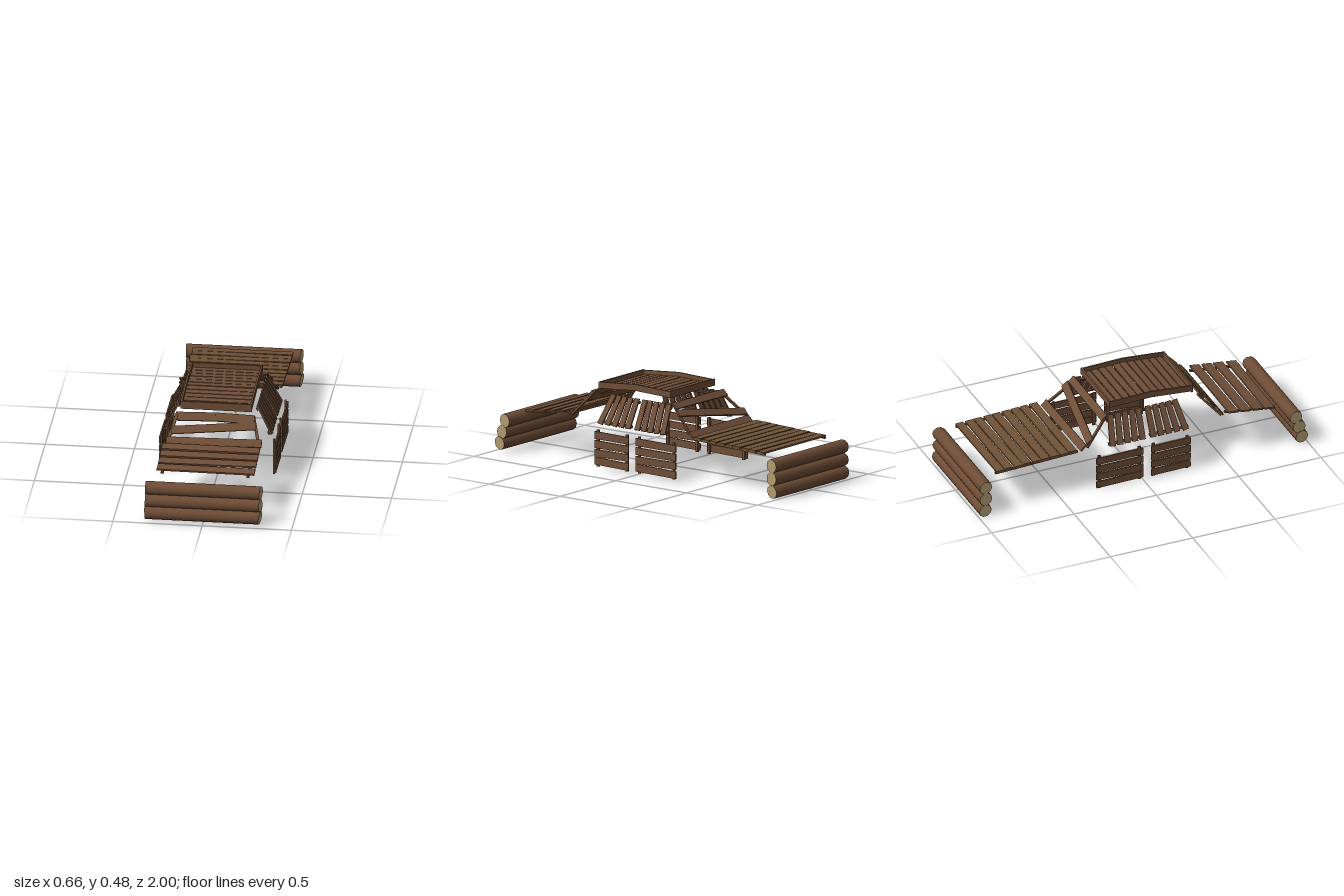
import * as THREE from 'three';

const mat = (name, color) => {
  const m = new THREE.MeshStandardMaterial({ color });
  m.name = name;
  return m;
};

export function createModel() {
  const wood = mat('plankWood', 0x6f4e37);
  const deckWood = mat('deckWood', 0x6f5236);
  const bark = mat('logBark', 0x6f4d36);
  const cut = mat('cutWood', 0xb39e74);
  const model = new THREE.Group();
  model.name = 'woodenCarBody';
  const V = (x, y, z) => new THREE.Vector3(x, y, z);

  // Flat frame: local x follows u, local y follows v, local z faces outward
  function panel(name, origin, u, v) {
    const g = new THREE.Group();
    g.name = name;
    u.normalize();
    v.normalize();
    const m = new THREE.Matrix4().makeBasis(u, v, u.clone().cross(v));
    g.quaternion.setFromRotationMatrix(m);
    g.position.copy(origin);
    model.add(g);
    return g;
  }

  // Board between two points of a panel, optionally tapering toward its end
  function board(g, name, x0, y0, x1, y1, width, z = 0, thick = 0.01, taper = 1, material = wood) {
    const len = Math.hypot(x1 - x0, y1 - y0);
    const geo = new THREE.BoxGeometry(len, width, thick);
    const p = geo.attributes.position;
    for (let i = 0; i < p.count; i++) if (p.getX(i) > 0) p.setY(i, p.getY(i) * taper);
    geo.computeVertexNormals();
    const mesh = new THREE.Mesh(geo, material);
    mesh.name = name;
    mesh.position.set((x0 + x1) / 2, (y0 + y1) / 2, z);
    mesh.rotation.z = Math.atan2(y1 - y0, x1 - x0);
    g.add(mesh);
  }

  // Small repeatable unevenness
  const wob = (i, a) => a * Math.sin(i * 2.7 + 1);

  // Log bumpers, with slanted pale cut ends
  function logs(name, centres) {
    const g = new THREE.Group();
    g.name = name;
    centres.forEach(([z, y], k) => {
      const r = 0.0385;
      const geo = new THREE.CylinderGeometry(r, r, 0.646, 10);
      geo.rotateZ(-Math.PI / 2);
      const p = geo.attributes.position;
      for (let i = 0; i < p.count; i++) {
        const x = p.getX(i), yy = p.getY(i), zz = p.getZ(i);
        const skew = x > 0 ? -0.17 * zz + wob(k, 0.12) * yy : 0.06 * zz - wob(k, 0.06) * yy;
        p.setX(i, x - 0.003 + skew);
      }
      const mesh = new THREE.Mesh(geo, [bark, cut, cut]);
      mesh.name = 'log';
      mesh.position.set(0, y, z);
      g.add(mesh);
    });
    model.add(g);
  }
  logs('frontLogs', [[0.961, 0.054], [0.945, 0.12], [0.925, 0.186]]);
  logs('rearLogs', [[-0.961, 0.041], [-0.958, 0.115], [-0.958, 0.188]]);

  // Hood
  const hood = panel('hood', V(0, 0.267, 0.68), V(1, 0, 0), V(0, 0.04, -0.31));
  [-0.11, -0.035, 0.038, 0.113].forEach((y, i) =>
    board(hood, 'hoodPlank', -0.277, y + wob(i, 0.004), 0.27, y - wob(i, 0.004), 0.06, 0, 0.01, 0.97));
  [-0.245, 0.235].forEach(x => board(hood, 'hoodStringer', x, -0.152, x, 0.155, 0.016, -0.01));

  // Windshield frame
  const shield = panel('windshieldFrame', V(0, 0.345, 0.445), V(1, 0, 0), V(0, 0.135, -0.12));
  board(shield, 'bottomPlank', -0.262, -0.078, 0.272, -0.07, 0.045);
  board(shield, 'diagonalPlank', -0.24, -0.016, 0.232, 0.032, 0.046);
  board(shield, 'topPlank', -0.213, 0.067, 0.0, 0.073, 0.05);
  board(shield, 'topPlank', 0.0, 0.073, 0.22, 0.067, 0.05);
  [-1, 1].forEach(s => board(shield, 'shieldPost', s * 0.258, -0.09, s * 0.212, 0.094, 0.017, -0.01));

  // Roof: arched side boards, end boards and slats
  const roof = new THREE.Group();
  roof.name = 'roof';
  model.add(roof);
  const base = z => (z > 0.1 ? 0.45 - (z - 0.1) * 0.086 : 0.45 - (0.1 - z) * 0.028);
  const arch = [0.355, 0.22, 0.1, 0, -0.15];
  const outline = new THREE.Shape([
    ...arch.map(z => new THREE.Vector2(-z, base(z))),
    ...arch.slice().reverse().map(z => new THREE.Vector2(-z, base(z) + 0.036)),
  ]);
  [-0.2, 0.19].forEach(x => {
    const side = new THREE.Mesh(new THREE.ExtrudeGeometry(outline, { depth: 0.01, bevelEnabled: false }), wood);
    side.name = 'roofSide';
    side.rotation.y = Math.PI / 2;
    side.position.x = x;
    roof.add(side);
  });
  function roofBox(name, w, h, d, x, y, z) {
    const m = new THREE.Mesh(new THREE.BoxGeometry(w, h, d), wood);
    m.name = name;
    m.position.set(x, y, z);
    roof.add(m);
    return m;
  }
  roofBox('roofFrontBoard', 0.398, 0.045, 0.01, 0, 0.444, 0.35);
  roofBox('roofRearBoard', 0.398, 0.038, 0.01, 0, 0.463, -0.147);
  for (let i = 0; i < 11; i++) {
    const z = 0.316 - i * 0.0435;
    const slat = roofBox('roofSlat', 0.382, 0.008, 0.038, -0.002, base(z) + 0.009, z);
    slat.rotation.x = z > 0.1 ? 0.086 : -0.028;
    slat.rotation.y = wob(i, 0.008);
  }

  // Rear window frame
  const rear = panel('rearWindowFrame', V(0, 0.338, -0.27), V(-1, 0, 0), V(0, 0.15, 0.16));
  board(rear, 'bottomPlank', 0.276, -0.1, -0.264, -0.104, 0.046);
  board(rear, 'diagonalPlank', 0.28, -0.05, -0.24, 0.054, 0.046);
  board(rear, 'topPlank', 0.235, 0.098, -0.226, 0.1, 0.044);
  board(rear, 'rearPost', 0.282, -0.085, 0.22, 0.1, 0.016, -0.01);
  board(rear, 'rearPost', -0.252, -0.085, -0.208, 0.1, 0.016, -0.01);

  // Trunk deck
  const trunk = panel('trunkDeck', V(0, 0.253, -0.628), V(1, 0, 0), V(0, -0.019, -0.495));
  for (let i = 0; i < 9; i++) {
    const y = -0.222 + i * 0.0555;
    board(trunk, 'trunkPlank', -0.277 + wob(i, 0.003), y + wob(i, 0.003), 0.285, y - wob(i, 0.003),
      0.049, 0, 0.01, 0.96, deckWood);
  }
  [-0.268, 0.273].forEach(x => board(trunk, 'trunkStringer', x, -0.252, x, 0.25, 0.014, -0.009));

  // Slatted side windows and plank doors, mirrored
  const windows = [
    { name: 'frontSideWindow', low: [0.267, 0.215, 0.165, 0.117, 0.07], high: [0.232, 0.192, 0.153, 0.112, 0.068] },
    { name: 'rearSideWindow', low: [0.004, -0.042, -0.087, -0.132, -0.178], high: [0.012, -0.026, -0.07, -0.113, -0.157] },
  ];
  const doors = [
    { name: 'frontDoor', z0: 0.285, z1: 0.047, posts: [0.268, 0.063] },
    { name: 'rearDoor', z0: -0.003, z1: -0.286, posts: [-0.022, -0.266] },
  ];
  [1, -1].forEach(s => {
    windows.forEach(w => {
      const g = panel(w.name, V(s * 0.26, 0.335, 0), V(0, 0, -s), V(-s * 0.085, 0.16, 0));
      w.low.forEach((z, i) =>
        board(g, 'windowSlat', -s * z, -0.09, -s * w.high[i], 0.088, 0.035, 0, 0.009, 0.93));
      const n = w.low.length - 1;
      board(g, 'windowRail', -s * (w.low[0] + 0.02), -0.073, -s * (w.low[n] - 0.02), -0.073, 0.016, -0.009);
      board(g, 'windowRail', -s * (w.high[0] + 0.02), 0.07, -s * (w.high[n] - 0.02), 0.07, 0.016, -0.009);
    });
    doors.forEach(d => {
      const g = panel(d.name, V(s * 0.323, 0, 0), V(0, 0, -s), V(0, 1, 0));
      [0.046, 0.094, 0.143, 0.194].forEach((y, i) =>
        board(g, 'doorPlank', -s * d.z0, y + wob(i, 0.003), -s * d.z1, y - wob(i, 0.003), 0.043, 0, 0.008, 0.95));
      d.posts.forEach(z => board(g, 'doorPost', -s * z, 0.016, -s * z, 0.225, 0.016, -0.009));
    });
  });

  return model;
}
